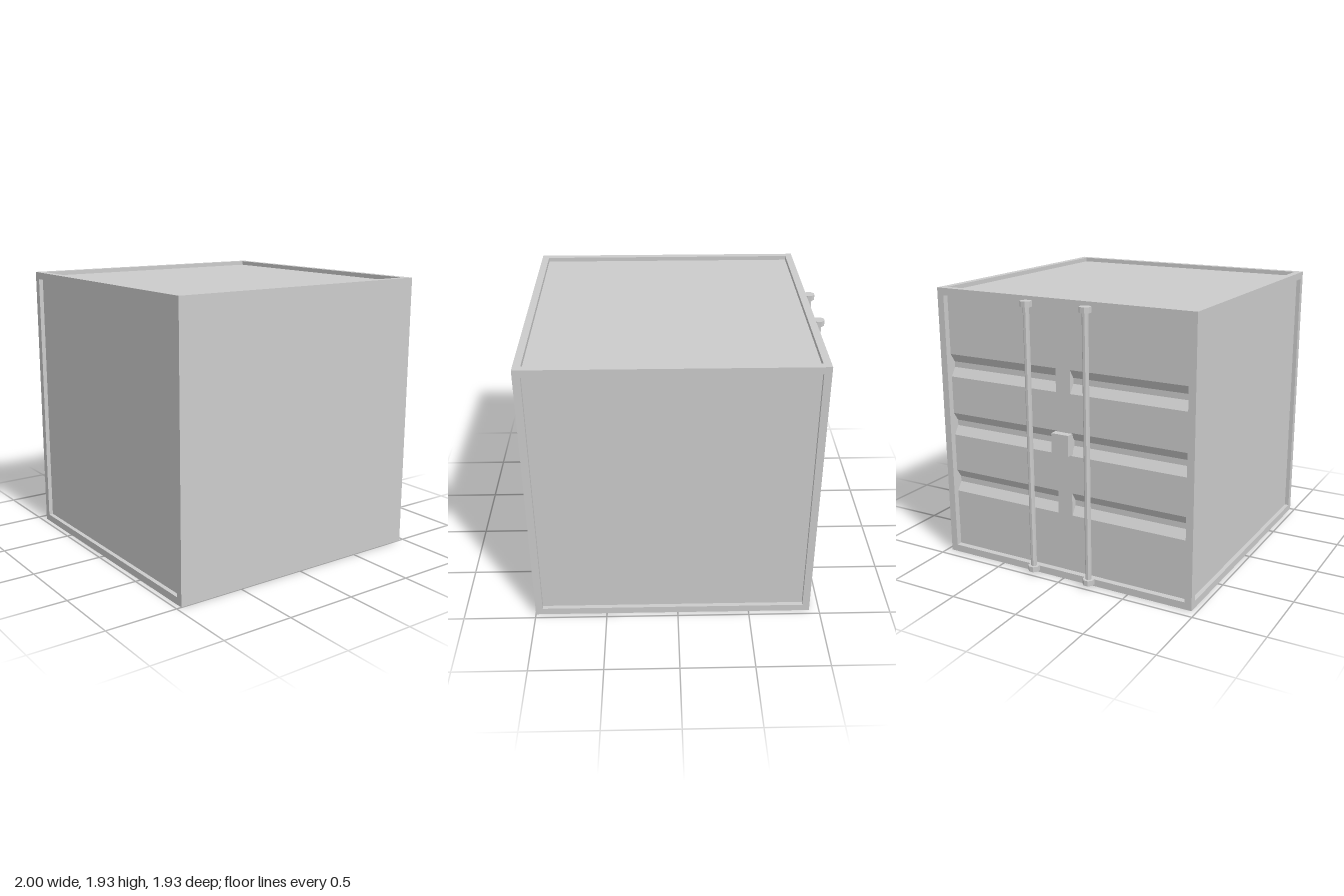
import * as THREE from 'three';

const X0 = -0.93, X1 = 1, H = 1.935, Z = 0.965; // outer shell
const B = 0.05;        // frame beam width
const RECESS = 0.03;   // depth of the plain panels
const DOOR_X = X0 + 0.042, GROOVE_X = DOOR_X + 0.04, DOOR_BACK = X0 + 0.12;

export function createModel() {
  const model = new THREE.Group();
  const material = new THREE.MeshStandardMaterial({ color: 0xcccccc, flatShading: true });

  const add = (name, geometry, parent = model) => {
    const mesh = new THREE.Mesh(geometry, material);
    mesh.name = name;
    parent.add(mesh);
    return mesh;
  };
  // Box given by its two extreme corners
  const box = (name, x0, x1, y0, y1, z0, z1, parent) =>
    add(name, new THREE.BoxGeometry(x1 - x0, y1 - y0, z1 - z0), parent)
      .position.set((x0 + x1) / 2, (y0 + y1) / 2, (z0 + z1) / 2);

  // Closed floor and plain end wall
  box('floor', X0, X1, 0, B, -Z, Z);
  box('endWall', X1 - B, X1, B, H, -Z, Z);

  // Frame beams around the recessed faces
  const frame = new THREE.Group();
  frame.name = 'frame';
  model.add(frame);
  box('doorHeader', X0, X0 + B, H - B, H, -Z, Z, frame);
  for (const s of [-1, 1]) {
    const z0 = s > 0 ? Z - B : -Z, z1 = z0 + B;
    box('topRail', X0 + B, X1 - B, H - B, H, z0, z1, frame);
    box('doorPost', X0, X0 + B, B, H - B, z0, z1, frame);
  }

  // Recessed side panels and roof
  const T = 0.02;
  for (const s of [-1, 1]) {
    const outer = s * (Z - RECESS), inner = outer - s * T;
    box('sidePanel', X0 + B, X1 - B, B, H - B, Math.min(outer, inner), Math.max(outer, inner));
  }
  box('roofPanel', X0 + B, X1 - B, H - RECESS - T, H - RECESS, -Z + B, Z - B);

  // Door leaves: a wall section with three trapezoid grooves, run along z
  const section = new THREE.Shape();
  section.moveTo(DOOR_BACK, B);
  section.lineTo(DOOR_BACK, H - B);
  section.lineTo(DOOR_X, H - B);
  for (const y of [1.39, 0.965, 0.54]) {
    section.lineTo(DOOR_X, y + 0.08);
    section.lineTo(GROOVE_X, y + 0.02);
    section.lineTo(GROOVE_X, y - 0.02);
    section.lineTo(DOOR_X, y - 0.08);
  }
  section.lineTo(DOOR_X, B);
  section.closePath();

  const STRIP = 0.055;
  const leafWidth = Z - B - STRIP;
  for (const z of [-Z + B, STRIP]) {
    const leaf = new THREE.ExtrudeGeometry(section, { depth: leafWidth, bevelEnabled: false });
    add('doorLeaf', leaf).position.z = z;
  }
  box('doorCentreStrip', DOOR_X, DOOR_BACK, B, H - B, -STRIP, STRIP);
  // Jambs close the groove ends behind the posts
  for (const z of [-Z + B - 0.015, Z - B]) {
    box('doorJamb', X0 + B, DOOR_BACK, B, H - B, z, z + 0.015);
  }

  // Lock box in the middle of the doors
  box('lockBox', X0 - 0.008, DOOR_X + 0.01, 0.895, 1.04, -0.067, 0.062);

  // Locking bars with end caps
  const octagon = (r, h) => new THREE.CylinderGeometry(r, r, h, 8).rotateY(Math.PI / 8);
  for (const z of [-0.22, 0.22]) {
    const bar = new THREE.Group();
    bar.name = 'lockingBar';
    bar.position.set(-0.963, 0, z);
    add('rod', octagon(0.021, 1.84), bar).position.y = H / 2;
    for (const y of [0.045, H - 0.045]) {
      add('cap', octagon(0.04, 0.038), bar).position.y = y;
    }
    model.add(bar);
  }

  return model;
}
